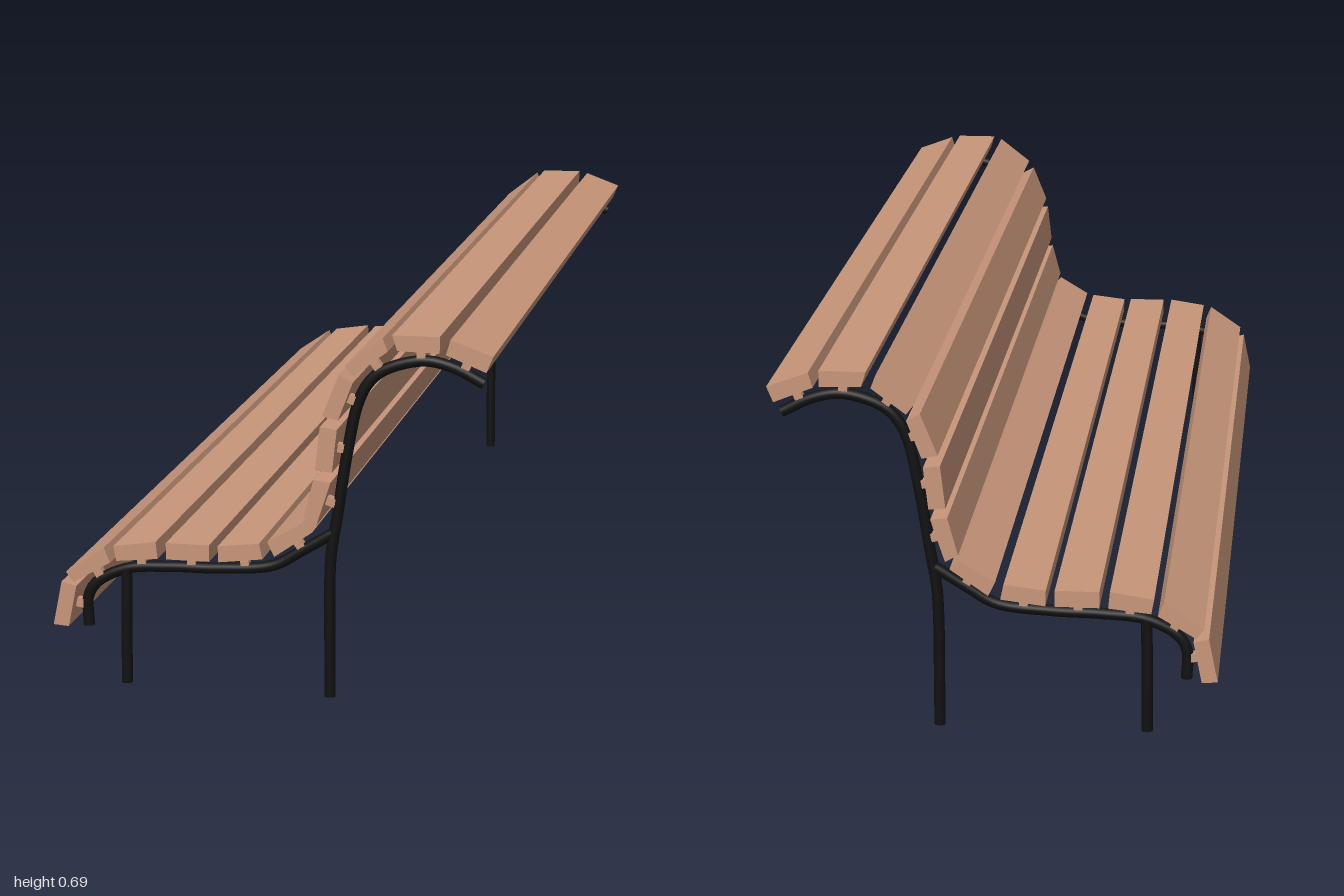
import * as THREE from 'three';

const wood = new THREE.MeshStandardMaterial({ color: 0xc8967a });
const iron = new THREE.MeshStandardMaterial({ color: 0x111111 });
const LENGTH = 2, FRAME_Z = 0.966, RADIUS = 0.0105;

// Slat sections from front edge to top: outer start, outer end, inner end, inner start
const SLATS = [
  [[-0.408, 0.117], [-0.391, 0.200], [-0.363, 0.193], [-0.379, 0.115]],
  [[-0.382, 0.219], [-0.309, 0.269], [-0.298, 0.241], [-0.368, 0.200]],
  [[-0.291, 0.273], [-0.211, 0.285], [-0.208, 0.253], [-0.286, 0.245]],
  [[-0.192, 0.284], [-0.111, 0.284], [-0.111, 0.253], [-0.192, 0.253]],
  [[-0.095, 0.283], [-0.018, 0.292], [-0.012, 0.263], [-0.094, 0.253]],
  [[-0.003, 0.296], [0.062, 0.335], [0.080, 0.318], [0.010, 0.269]],
  [[0.064, 0.345], [0.083, 0.416], [0.114, 0.412], [0.088, 0.332]],
  [[0.086, 0.434], [0.095, 0.514], [0.126, 0.510], [0.117, 0.431]],
  [[0.099, 0.534], [0.130, 0.611], [0.155, 0.597], [0.128, 0.527]],
  [[0.141, 0.627], [0.209, 0.680], [0.218, 0.656], [0.155, 0.609]],
  [[0.226, 0.686], [0.311, 0.686], [0.311, 0.656], [0.235, 0.658]],
  [[0.330, 0.682], [0.406, 0.654], [0.394, 0.625], [0.322, 0.654]],
];

// Centre lines of the bent bars in one end frame
const BARS = {
  seatRail: [[-0.35, 0.11], [-0.35, 0.165], [-0.333, 0.193], [-0.276, 0.222], [-0.193, 0.23],
    [-0.106, 0.232], [0, 0.243], [0.051, 0.272], [0.112, 0.310]],
  frontLeg: [[-0.279, 0.003], [-0.278, 0.11], [-0.276, 0.222]],
  backPost: [[0.105, 0], [0.105, 0.1], [0.105, 0.2], [0.108, 0.27], [0.12, 0.345], [0.138, 0.46],
    [0.157, 0.55], [0.175, 0.588], [0.203, 0.614], [0.276, 0.635], [0.33, 0.625], [0.385, 0.598]],
};

// Round bar with flat end caps
function bar(name, points) {
  const group = new THREE.Group();
  group.name = name;
  const curve = new THREE.CatmullRomCurve3(points.map(([x, y]) => new THREE.Vector3(x, y, 0)), false, 'centripetal');
  group.add(new THREE.Mesh(new THREE.TubeGeometry(curve, points.length * 5, RADIUS, 12), iron));
  for (const t of [0, 1]) {
    const cap = new THREE.Mesh(new THREE.CircleGeometry(RADIUS, 12), iron);
    const dir = curve.getTangent(t).multiplyScalar(t ? 1 : -1);
    cap.position.copy(curve.getPoint(t));
    cap.quaternion.setFromUnitVectors(new THREE.Vector3(0, 0, 1), dir);
    group.add(cap);
  }
  group.children.forEach((m, i) => { m.name = name + (i ? 'Cap' : 'Tube'); });
  return group;
}

function slat(corners) {
  const shape = new THREE.Shape(corners.map(([x, y]) => new THREE.Vector2(x, y)));
  const geo = new THREE.ExtrudeGeometry(shape, { depth: LENGTH, bevelEnabled: false });
  const mesh = new THREE.Mesh(geo.translate(0, 0, -LENGTH / 2), wood);
  mesh.name = 'slat';
  return mesh;
}

// Small peg joining the underside of a slat to the frame
function spacer([, , b, a]) {
  const mesh = new THREE.Mesh(new THREE.BoxGeometry(0.016, 0.02, 0.016), wood);
  const angle = Math.atan2(b[1] - a[1], b[0] - a[0]);
  const drop = 0.007;
  mesh.position.set((a[0] + b[0]) / 2 + Math.sin(angle) * drop, (a[1] + b[1]) / 2 - Math.cos(angle) * drop, 0);
  mesh.rotation.z = angle;
  mesh.name = 'spacer';
  return mesh;
}

export function createModel() {
  const bench = new THREE.Group();
  bench.name = 'bench';
  for (const corners of SLATS) bench.add(slat(corners));

  // One frame near each end
  for (const side of [1, -1]) {
    const frame = new THREE.Group();
    frame.name = side > 0 ? 'frontEndFrame' : 'backEndFrame';
    for (const [name, points] of Object.entries(BARS)) frame.add(bar(name, points));
    for (const corners of SLATS) frame.add(spacer(corners));
    frame.position.z = side * FRAME_Z;
    bench.add(frame);
  }
  return bench;
}
